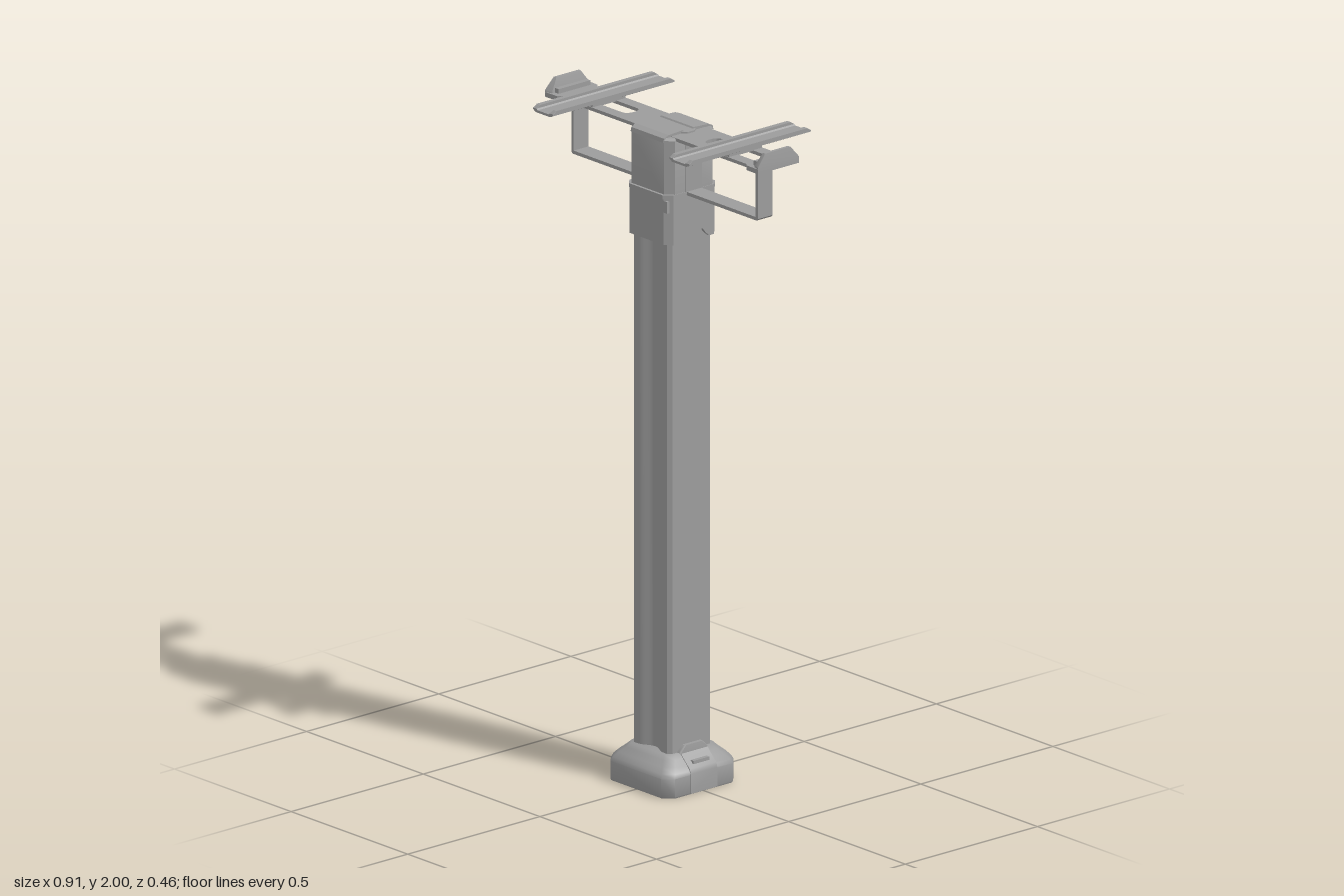
import * as THREE from 'three';
import { toCreasedNormals } from 'three/addons/utils/BufferGeometryUtils.js';

const mat = new THREE.MeshStandardMaterial({ color: 0x9c9c9c });

function add(parent, name, geo, x = 0, y = 0, z = 0, crease = 0.6) {
  const m = new THREE.Mesh(toCreasedNormals(geo, crease), mat);
  m.name = name;
  m.position.set(x, y, z);
  parent.add(m);
  return m;
}
const box = (w, h, d) => new THREE.BoxGeometry(w, h, d);

// Extrudes an outline of [x, z] points upwards by h
function slab(pts, h, holes = []) {
  const s = new THREE.Shape(pts.map(([x, z]) => new THREE.Vector2(x, -z)));
  s.holes = holes;
  return new THREE.ExtrudeGeometry(s, { depth: h, bevelEnabled: false, curveSegments: 10 }).rotateX(-Math.PI / 2);
}

// Extrudes an [x, y] profile along z, centred on z = 0
function rail(pts, length) {
  const s = new THREE.Shape(pts.map(([x, y]) => new THREE.Vector2(x, y)));
  return new THREE.ExtrudeGeometry(s, { depth: length, bevelEnabled: false }).translate(0, 0, -length / 2);
}

// Rectangle with cut corners as [x, z] points
function oct(a, b, c) {
  return [[a, -b + c], [a, b - c], [a - c, b], [-a + c, b], [-a, b - c], [-a, -b + c], [-a + c, -b], [a - c, -b]];
}

// Skins convex cross-sections [height, points], with both ends closed
function loft(sections) {
  const pos = [];
  const n = sections[0][1].length;
  const v = (k, i) => {
    const [x, z] = sections[k][1][i % n];
    return [x, sections[k][0], z];
  };
  for (let k = 0; k < sections.length - 1; k++) {
    for (let i = 0; i < n; i++) {
      pos.push(...v(k, i), ...v(k + 1, i), ...v(k + 1, i + 1));
      pos.push(...v(k, i), ...v(k + 1, i + 1), ...v(k, i + 1));
    }
  }
  const top = sections.length - 1;
  for (let i = 1; i < n - 1; i++) {
    pos.push(...v(0, 0), ...v(0, i), ...v(0, i + 1));
    pos.push(...v(top, 0), ...v(top, i + 1), ...v(top, i));
  }
  const g = new THREE.BufferGeometry();
  g.setAttribute('position', new THREE.Float32BufferAttribute(pos, 3));
  g.computeVertexNormals();
  return g;
}

function buildBase() {
  const g = new THREE.Group();
  g.name = 'base';
  add(g, 'foot', loft([
    [0, oct(0.135, 0.135, 0.028)], [0.004, oct(0.137, 0.137, 0.028)], [0.058, oct(0.137, 0.137, 0.028)],
    [0.07, oct(0.132, 0.132, 0.028)], [0.085, oct(0.119, 0.119, 0.026)], [0.1, oct(0.103, 0.103, 0.024)],
    [0.112, oct(0.092, 0.092, 0.022)],
  ]), 0, 0, 0, 0.9);
  for (const s of [1, -1]) {
    // Side latch with a small finger slot and a tab against the column
    add(g, 'latch', rail([[0.08, 0.002], [0.138, 0.002], [0.138, 0.06], [0.133, 0.074], [0.106, 0.1], [0.095, 0.112], [0.08, 0.112]], 0.1)).rotation.y = s > 0 ? 0 : Math.PI;
    add(g, 'latchLip', box(0.012, 0.01, 0.06), s * 0.12, 0.088, 0);
    add(g, 'tab', loft([[0.1, oct(0.012, 0.058, 0.004)], [0.115, oct(0.012, 0.052, 0.004)], [0.132, oct(0.01, 0.034, 0.004)]]), s * 0.084, 0, 0);
  }
  return g;
}

function buildSleeve() {
  const g = new THREE.Group();
  g.name = 'sleeve';
  add(g, 'lowerSleeve', loft([[1.666, oct(0.093, 0.096, 0.02)], [1.78, oct(0.093, 0.096, 0.02)]]));
  add(g, 'seam', slab(oct(0.094, 0.1, 0.022), 0.012), 0, 1.778, 0);
  add(g, 'upperSleeve', loft([[1.785, oct(0.092, 0.092, 0.022)], [1.95, oct(0.092, 0.092, 0.022)], [1.957, oct(0.088, 0.088, 0.022)]]));
  for (const s of [1, -1]) {
    // Skirt halves leave a notch on each side of the column
    const half = (e) => [[0.093, e], [0.093, 0.076], [0.073, 0.096], [-0.073, 0.096], [-0.093, 0.076], [-0.093, e]];
    add(g, 'skirt', loft([[1.64, half(0.058)], [1.652, half(0.045)], [1.666, half(0.034)]])).rotation.y = s > 0 ? 0 : Math.PI;
    add(g, 'sideRib', box(0.01, 0.165, 0.06), s * 0.09, 1.865, 0);
    add(g, 'catch', box(0.02, 0.035, 0.008), s * 0.078, 1.755, s * 0.092);
  }
  // Cap with a shallow trough across its middle
  add(g, 'cap', rail([
    [-0.095, 1.945], [0.095, 1.945], [0.092, 1.957], [0.074, 1.964], [0.02, 1.967], [0.016, 1.962],
    [-0.016, 1.962], [-0.02, 1.967], [-0.074, 1.964], [-0.092, 1.957],
  ], 0.14), 0, 0, 0, 0.3).rotation.y = Math.PI / 2;
  add(g, 'capTongue', slab(oct(0.083, 0.028, 0.014), 0.005), 0, 1.958, 0);
  return g;
}

// One bracket, built on +x
function buildArm() {
  const g = new THREE.Group();
  g.name = 'arm';
  const slot = new THREE.Path();
  slot.moveTo(0.393, 0.028);
  slot.lineTo(0.185, 0.028);
  slot.quadraticCurveTo(0.162, 0.028, 0.162, 0);
  slot.quadraticCurveTo(0.162, -0.028, 0.185, -0.028);
  slot.lineTo(0.393, -0.028);
  slot.closePath();
  add(g, 'armPlate', slab([[0.03, -0.065], [0.03, 0.065], [0.42, 0.065], [0.42, -0.065]], 0.01, [slot]), 0, 1.948, 0);
  // Bent strap under the plate
  add(g, 'strap', rail([
    [0.08, 1.78], [0.394, 1.78], [0.4, 1.786], [0.4, 1.954], [0.39, 1.954], [0.39, 1.79], [0.08, 1.79],
  ], 0.056));

  // Cross rail: shallow channel on a low foot, its lips bevelled at the ends
  add(g, 'railFloor', rail([
    [-0.03, 1.968], [0.03, 1.968], [0.043, 1.974], [0.043, 1.979], [0.028, 1.979], [0.024, 1.975],
    [-0.024, 1.975], [-0.028, 1.979], [-0.043, 1.979], [-0.043, 1.974],
  ], 0.46), 0.292, 0, 0, 0.3);
  for (const s of [1, -1]) {
    add(g, 'railLip', loft([[1.978, oct(0.0075, 0.23, 0.001)], [1.987, oct(0.0075, 0.217, 0.001)]]), 0.292 + s * 0.0355);
  }
  add(g, 'railFoot', box(0.045, 0.014, 0.125), 0.292, 1.963, 0);

  // Upturned end stop with cut corners
  add(g, 'stopFoot', slab([[0.394, -0.064], [0.394, 0.064], [0.406, 0.077], [0.455, 0.078], [0.455, -0.078], [0.406, -0.077]], 0.014), 0, 1.946, 0);
  add(g, 'stopWall', loft([
    [1.946, [[0.457, -0.078], [0.457, 0.078], [0.432, 0.072], [0.432, -0.072]]],
    [1.965, [[0.457, -0.078], [0.457, 0.078], [0.434, 0.07], [0.434, -0.07]]],
    [2.0, [[0.453, -0.048], [0.453, 0.048], [0.443, 0.046], [0.443, -0.046]]],
  ]));
  add(g, 'stopLip', box(0.016, 0.02, 0.12), 0.426, 1.964, 0);
  return g;
}

export function createModel() {
  const model = new THREE.Group();
  model.name = 'stand';
  model.add(buildBase());

  // Column with small chamfers and a smooth hollow down the front and back
  const c = 0.082;
  const half = [[c, 0.071], [0.071, c]];
  for (let i = 0; i <= 16; i++) {
    const t = 1 - i / 8;
    half.push([0.055 * t, c - 0.01 * (1 + Math.cos(Math.PI * t))]);
  }
  half.push([-0.071, c], [-c, 0.071]);
  add(model, 'column', slab([...half, ...half.map(([x, z]) => [-x, -z])], 1.6), 0, 0.1, 0);

  model.add(buildSleeve());
  for (const s of [1, -1]) {
    const arm = buildArm();
    arm.rotation.y = s > 0 ? 0 : Math.PI;
    model.add(arm);
  }
  return model;
}
